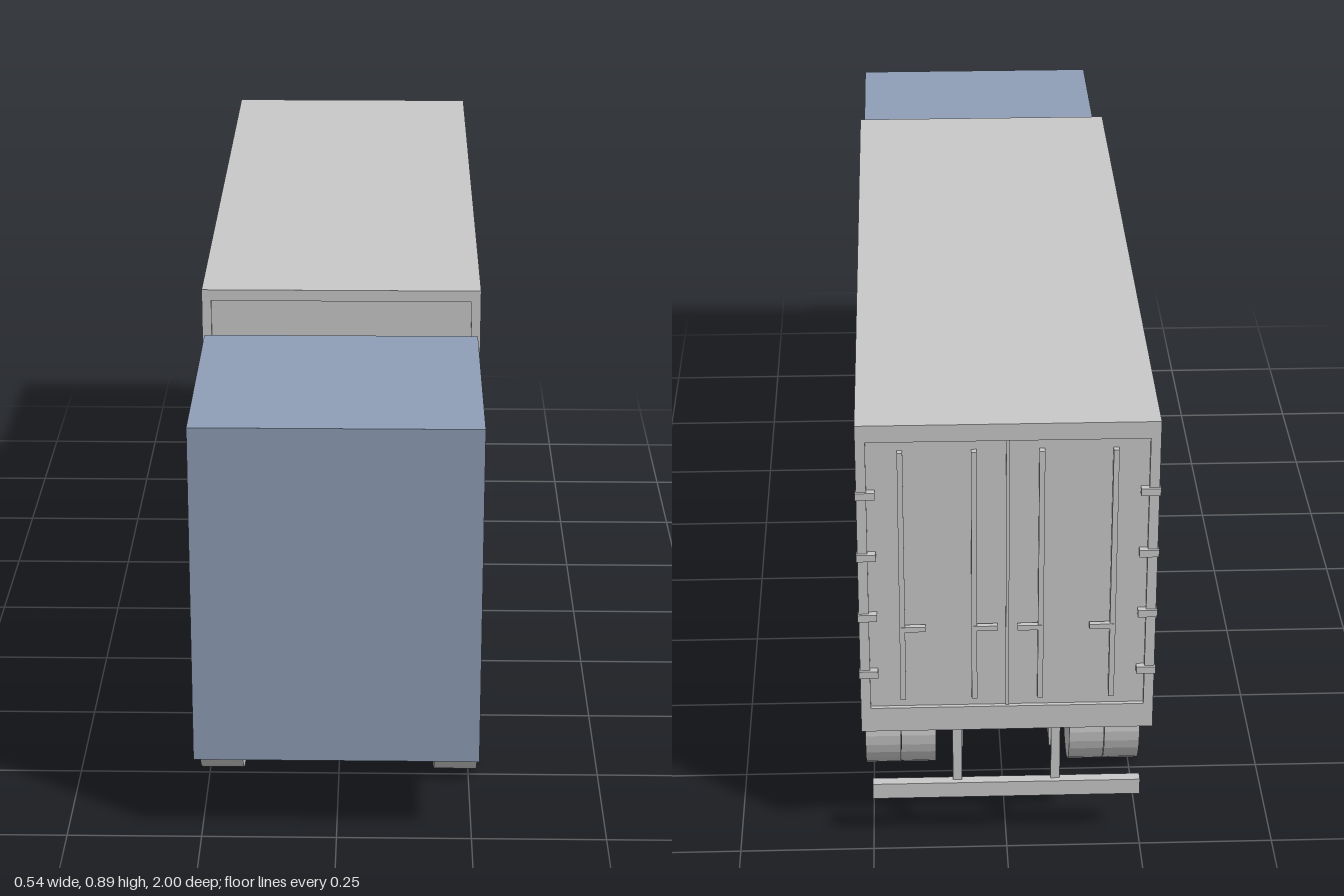
import * as THREE from 'three';

export function createModel() {
  const model = new THREE.Group();
  model.name = 'boxTruck';

  const grey = new THREE.MeshStandardMaterial({ color: 0xc8c8c8 });
  grey.name = 'light grey';
  const blue = new THREE.MeshStandardMaterial({ color: 0x8e9eb6 });
  blue.name = 'dusty blue';
  const brown = new THREE.MeshStandardMaterial({ color: 0x97816a });
  brown.name = 'floor brown';

  // box given by its limits on each axis
  function box(name, x0, x1, y0, y1, z0, z1, material = grey, parent = model) {
    const mesh = new THREE.Mesh(new THREE.BoxGeometry(x1 - x0, y1 - y0, z1 - z0), material);
    mesh.position.set((x0 + x1) / 2, (y0 + y1) / 2, (z0 + z1) / 2);
    mesh.name = name;
    parent.add(mesh);
    return mesh;
  }
  // the same box on both sides of the truck
  function pair(name, x0, x1, ...rest) {
    box(name + 'Left', x0, x1, ...rest);
    box(name + 'Right', -x1, -x0, ...rest);
  }

  // cab
  box('cab', -0.262, 0.262, 0.16, 0.812, 0.505, 1, blue);

  // cargo box: recessed panels inside a frame
  const W = 0.268, bottom = 0.26, top = 0.893, front = 0.475, back = -0.995;
  box('cargoPanels', -0.264, 0.264, 0.28, top - 0.01, back + 0.008, front - 0.006);
  box('roof', -W, W, top - 0.022, top, back, front);
  box('cargoFloor', -0.255, 0.255, 0.272, 0.28, back + 0.01, front - 0.01, brown);
  pair('bottomRail', W - 0.016, W, bottom, 0.295, back, front);
  pair('frontPost', W - 0.018, W, bottom, top, front - 0.018, front);
  pair('rearPost', W - 0.018, W, bottom, top, back, back + 0.018);
  box('frontSill', -W, W, bottom, 0.295, front - 0.018, front);
  box('rearSill', -W, W, bottom, 0.31, back, back + 0.018);
  box('rearHeader', -W, W, 0.86, top, back, back + 0.018);

  // side ribs, rail hooks and floor cross members on one spacing
  for (let i = 0; i < 12; i++) {
    const z = 0.385 - i * 0.1165;
    pair('sideRib', 0.262, 0.2675, 0.295, 0.872, z - 0.004, z + 0.004);
    pair('railHook', 0.262, 0.271, 0.272, 0.286, z - 0.005, z + 0.005);
    box('crossMember', -0.255, 0.255, bottom, 0.274, z - 0.01, z + 0.01);
  }

  // rear doors: seam, locking bars, handles, hinges
  box('doorSeam', -0.003, 0.003, 0.31, 0.86, -0.99, -0.985);
  for (const x of [-0.19, -0.06, 0.06, 0.19]) {
    box('lockBar', x - 0.005, x + 0.005, 0.33, 0.84, -0.999, -0.985);
    const inward = x < 0 ? 0.02 : -0.02;
    box('doorHandle', x + inward - 0.022, x + inward + 0.022, 0.475, 0.485, -1, -0.99);
  }
  for (const y of [0.385, 0.505, 0.63, 0.755]) {
    pair('hinge', 0.235, 0.27, y - 0.007, y + 0.007, -1, -0.985);
  }

  // chassis beams
  pair('chassisBeam', 0.08, 0.1, 0.185, bottom, -0.94, 0.51);

  // side guards
  pair('upperGuardBar', 0.248, 0.262, 0.184, 0.202, 0.04, 0.56);
  pair('lowerGuardBar', 0.248, 0.262, 0.12, 0.138, 0.04, 0.56);
  for (const [z, y] of [[0.055, 0.27], [0.3, 0.27], [0.54, 0.2]]) {
    pair('guardPost', 0.244, 0.256, 0.12, y, z - 0.006, z + 0.006);
  }
  pair('guardBracket', 0.25, 0.262, 0.202, 0.25, 0.465, 0.51);

  // rear underrun bumper
  box('rearBumper', -0.25, 0.25, 0.096, 0.128, -0.975, -0.955);
  pair('bumperPost', 0.083, 0.1, 0.11, 0.275, -0.965, -0.95);

  // wheels: single in front, twinned on the three rear axles
  function wheel(name, x0, x1, z) {
    const geometry = new THREE.CylinderGeometry(0.1125, 0.1125, x1 - x0, 32);
    geometry.rotateZ(Math.PI / 2);
    // flat facets around the tread
    const faceted = geometry.toNonIndexed();
    faceted.computeVertexNormals();
    for (const side of [1, -1]) {
      const mesh = new THREE.Mesh(faceted, grey);
      mesh.name = name + (side > 0 ? 'Left' : 'Right');
      mesh.position.set(side * (x0 + x1) / 2, 0.1125, z);
      model.add(mesh);
    }
  }
  wheel('frontWheel', 0.183, 0.265, 0.7);
  for (const z of [-0.1, -0.39, -0.68]) {
    wheel('rearOuterWheel', 0.197, 0.265, z);
    wheel('rearInnerWheel', 0.129, 0.196, z);
  }

  return model;
}
